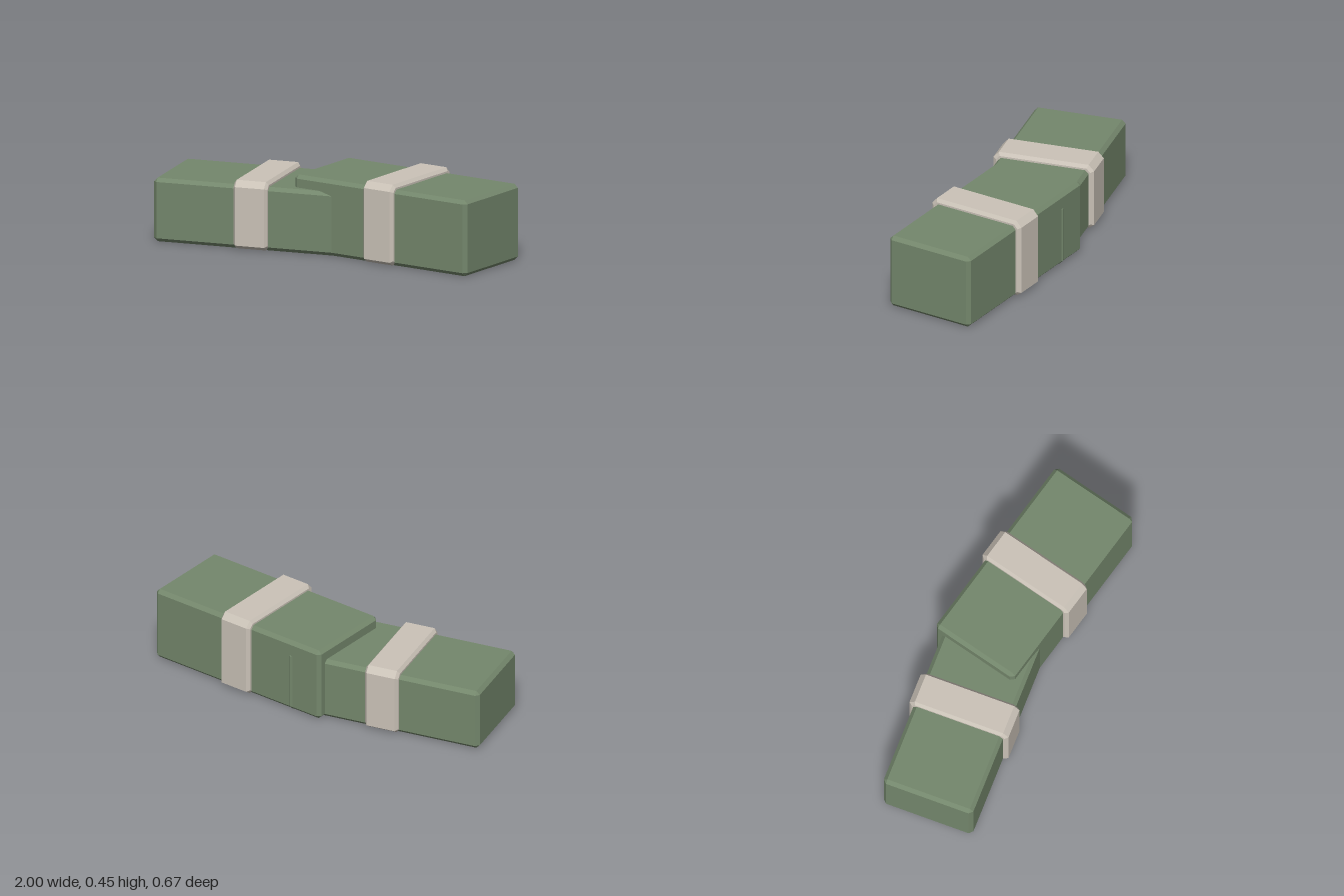
import * as THREE from 'three';
import { ConvexGeometry } from 'three/addons/geometries/ConvexGeometry.js';

const clothMaterial = new THREE.MeshStandardMaterial({ color: 0x74876c, flatShading: true });
const bandMaterial = new THREE.MeshStandardMaterial({ color: 0xcbc3b8, flatShading: true });

const HALF_LENGTH = 0.56, HALF_DEPTH = 0.257, CHAMFER = 0.02;
const signs = [-1, 1];

// Box standing on y = 0 with every edge and corner chamfered
function chamferedBox(height) {
  const half = [HALF_LENGTH, height / 2, HALF_DEPTH];
  const points = [];
  for (const sx of signs) for (const sy of signs) for (const sz of signs) {
    for (let axis = 0; axis < 3; axis++) {
      const [x, y, z] = half.map((h, i) => (i === axis ? h : h - CHAMFER));
      points.push(new THREE.Vector3(sx * x, sy * y + height / 2, sz * z));
    }
  }
  return new ConvexGeometry(points);
}

// Strap around the box: eight-sided outline, stepped in at both sides
function strap(height) {
  const points = [];
  const addRing = (x, inset) => {
    const outline = [
      [0.255, 0.002 + inset],
      [0.284 - inset, 0.022 + inset * 0.4],
      [0.284 - inset, height - 0.006 - inset * 0.4],
      [0.253 - inset * 0.4, height + 0.028 - inset],
    ];
    for (const [z, y] of outline) for (const s of signs) points.push(new THREE.Vector3(x, y, s * z));
  };
  for (const s of signs) {
    addRing(s * 0.083, 0);
    addRing(s * 0.097, 0.018);
  }
  return new ConvexGeometry(points);
}

// One wrapped bundle: body and strap, turned about the vertical
function bundle(name, height, x, turn) {
  const group = new THREE.Group();
  group.name = name;
  const body = new THREE.Mesh(chamferedBox(height), clothMaterial);
  body.name = name + 'Body';
  const band = new THREE.Mesh(strap(height), bandMaterial);
  band.name = name + 'Strap';
  group.add(body, band);
  group.position.x = x;
  group.rotation.y = THREE.MathUtils.degToRad(turn);
  return group;
}

export function createModel() {
  const model = new THREE.Group();
  model.name = 'strappedBundles';
  model.add(
    bundle('tallBundle', 0.418, 0.412, -8.6),
    bundle('lowBundle', 0.35, -0.419, 6),
  );
  return model;
}
